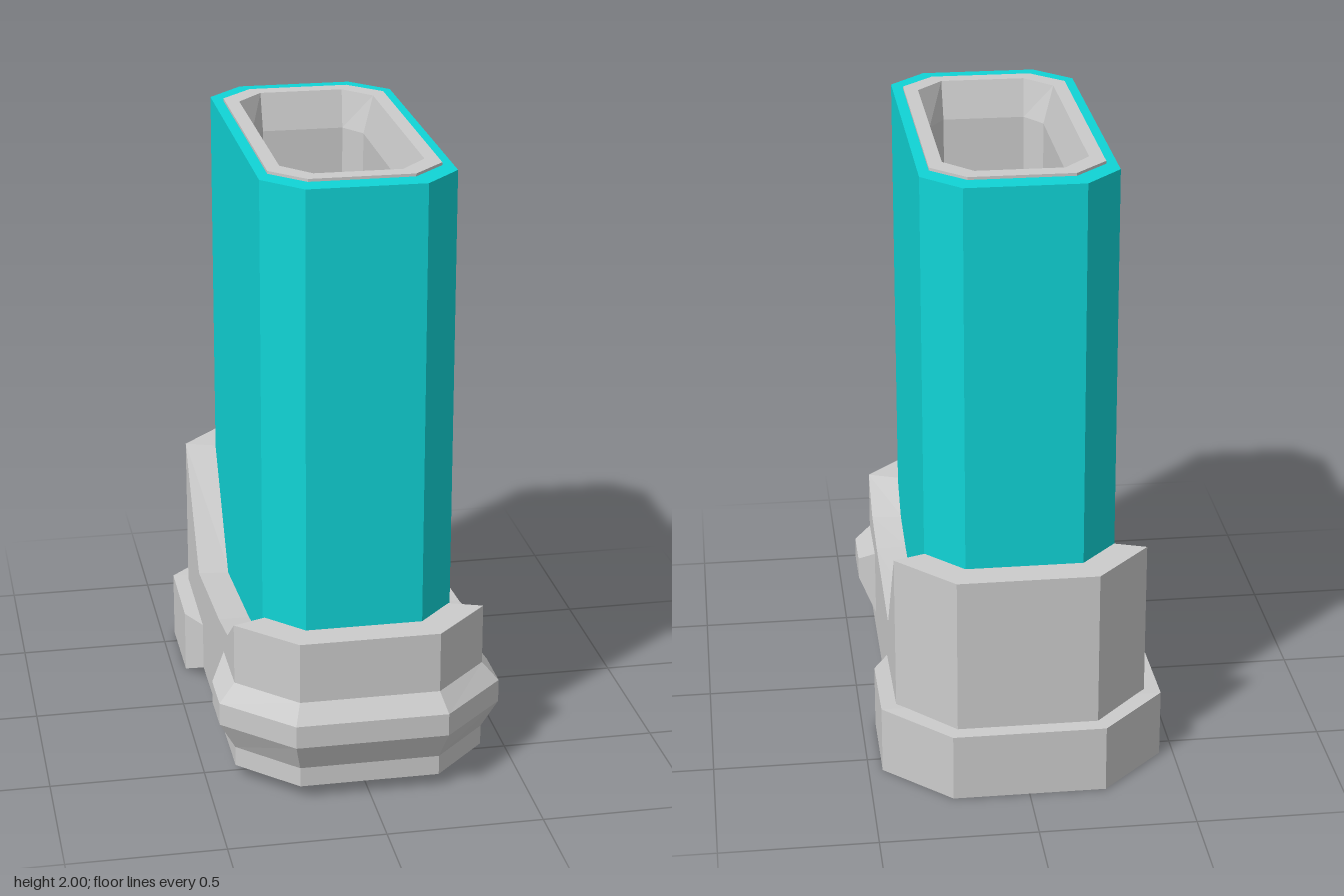
import * as THREE from 'three';

const grey = new THREE.MeshStandardMaterial({ color: 0xcccccc, flatShading: true });
const cyan = new THREE.MeshStandardMaterial({ color: 0x10d4d6, flatShading: true });

// Skins a stack of rings. Each ring lists its +x half, front to back, as
// [x, y, z]; the other half is mirrored. End rings can be capped.
function skin(name, material, halves, capFirst, capLast) {
  const pos = [];
  const quad = (a, b, c, d) => pos.push(...a, ...b, ...c, ...a, ...c, ...d);
  const mirror = ([x, y, z]) => [-x, y, z];
  const rings = halves.map(h => [...h, ...h.map(mirror).reverse()]);
  for (let r = 0; r < rings.length - 1; r++) {
    const lo = rings[r], hi = rings[r + 1], n = lo.length;
    for (let i = 0; i < n; i++) {
      const j = (i + 1) % n;
      quad(lo[i], lo[j], hi[j], hi[i]);
    }
  }
  const cap = (h, flip) => {
    for (let i = 0; i < h.length - 1; i++) {
      const q = [h[i], h[i + 1], mirror(h[i + 1]), mirror(h[i])];
      quad(...(flip ? q.reverse() : q));
    }
  };
  if (capFirst) cap(halves[0], true);
  if (capLast) cap(halves[halves.length - 1], false);
  const geo = new THREE.BufferGeometry();
  geo.setAttribute('position', new THREE.Float32BufferAttribute(pos, 3));
  geo.computeVertexNormals();
  const mesh = new THREE.Mesh(geo, material);
  mesh.name = name;
  return mesh;
}

// Half of a chamfered rectangle, leaning very slightly forward with height
function octagon(x, front, back, cx, cz, y) {
  const lean = 0.008 * (y - 1.98);
  return [[cx, front], [x, front - cz], [x, back + cz], [cx, back]]
    .map(([px, z]) => [px, y - 0.009 * z, z + lean]);
}

// Gives a flat [x, z] outline a height
const atHeight = (outline, y) => outline.map(([x, z]) => [x, y, z]);

export function createModel() {
  const model = new THREE.Group();

  // Tall coloured casing
  model.add(skin('casing', cyan, [
    octagon(0.305, 0.64, -0.615, 0.187, 0.125, 0.2),
    octagon(0.305, 0.64, -0.615, 0.187, 0.125, 1.985),
    octagon(0.27, 0.562, -0.538, 0.165, 0.107, 1.985),
  ], true, false));

  // Grey lining with a bevelled mouth and a deep well
  model.add(skin('lining', grey, [
    octagon(0.27, 0.562, -0.538, 0.165, 0.107, 1.97),
    octagon(0.27, 0.562, -0.538, 0.165, 0.107, 1.994),
    octagon(0.225, 0.505, -0.48, 0.138, 0.1, 1.994),
    octagon(0.19, 0.472, -0.45, 0.135, 0.085, 1.87),
    octagon(0.19, 0.468, -0.45, 0.135, 0.085, 0.45),
  ], false, true));

  // Base collar with a top edge that dips along the sides
  const outer = [[0.225, 0.54, 0.73], [0.405, 0.54, 0.55], [0.405, 0.44, 0.41],
    [0.405, 0.41, 0.22], [0.405, 0.37, -0.25], [0.405, 0.74, -0.538], [0.225, 0.74, -0.725]];
  const inner = [[0.185, 0.54, 0.625], [0.3, 0.54, 0.51], [0.3, 0.44, 0.4],
    [0.3, 0.41, 0.22], [0.3, 0.37, -0.237], [0.3, 0.74, -0.5], [0.185, 0.74, -0.615]];
  model.add(skin('baseCollar', grey,
    [outer.map(([x, , z]) => [x, 0.045, z]), outer, inner], true, false));

  // Ridge wrapped round the front of the base
  const foot = [[0.225, 0.73], [0.405, 0.55], [0.405, 0.32], [0.405, 0.32]];
  const crest = [[0.245, 0.777], [0.457, 0.57], [0.457, 0.41], [0.405, 0.32]];
  model.add(skin('frontRidge', grey, [
    atHeight(foot, 0.11), atHeight(crest, 0.205),
    atHeight(crest, 0.28), atHeight(foot, 0.34),
  ], true, true));

  // Flared heel under the back, ramped at its front edge
  const heel = [[0.405, -0.175], [0.455, -0.27], [0.455, -0.57], [0.245, -0.777]];
  const heelBottom = [0.045, 0, 0, 0.003], heelTop = [0.207, 0.211, 0.225, 0.225];
  model.add(skin('heel', grey, [heelBottom, heelTop].map(
    ys => heel.map(([x, z], i) => [x, ys[i], z])), true, true));

  return model;
}
